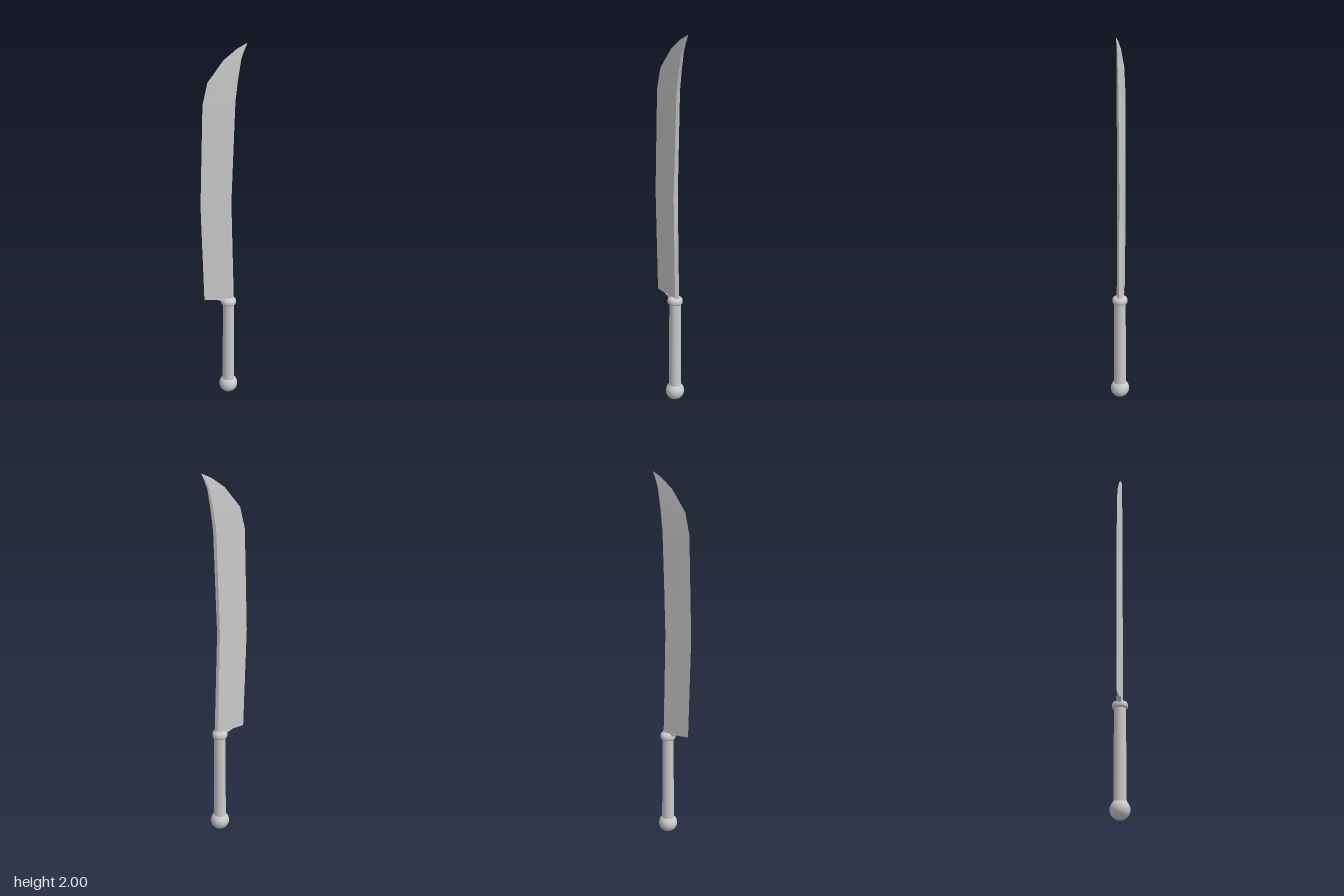
import * as THREE from 'three';

const AXIS_X = 0.03; // the grip sits off the centre of the blade

// Blade stations from heel to tip: cutting edge, ridge, spine (x, y each) and half thickness
const STATIONS = [
  [-0.108, 0.616, 0.046, 0.602, 0.060, 0.602, 0.0145],
  [-0.124, 1.17, 0.034, 1.17, 0.044, 1.17, 0.0145],
  [-0.108, 1.71, 0.051, 1.71, 0.063, 1.71, 0.012],
  [-0.082, 1.82, 0.064, 1.82, 0.076, 1.82, 0.009],
  [0.0, 1.924, 0.082, 1.915, 0.092, 1.92, 0.006],
  [0.07, 1.975, 0.097, 1.956, 0.104, 1.955, 0.003],
  [0.123, 2.0, 0.123, 2.0, 0.123, 2.0, 0],
];

function bladeGeometry() {
  const pos = [];
  // Four-sided cross-section: edge, front ridge, spine, back ridge
  for (const [ex, ey, rx, ry, sx, sy, t] of STATIONS) {
    pos.push(ex, ey, 0, rx, ry, t, sx, sy, 0, rx, ry, -t);
  }
  const index = [];
  for (let i = 0; i < STATIONS.length - 1; i++) {
    for (let k = 0; k < 4; k++) {
      const a = i * 4 + k, b = i * 4 + ((k + 1) % 4);
      index.push(a, b, b + 4, a, b + 4, a + 4);
    }
  }
  index.push(0, 2, 1, 0, 3, 2); // heel cap
  const geo = new THREE.BufferGeometry();
  geo.setAttribute('position', new THREE.Float32BufferAttribute(pos, 3));
  geo.setIndex(index);
  const flat = geo.toNonIndexed();
  flat.computeVertexNormals();
  return flat;
}

export function createModel() {
  const group = new THREE.Group();
  const smooth = new THREE.MeshStandardMaterial({ color: 0xcccccc });
  const faceted = new THREE.MeshStandardMaterial({ color: 0xcccccc, flatShading: true });

  const add = (name, geo, mat, x = 0, y = 0, z = 0) => {
    const mesh = new THREE.Mesh(geo, mat);
    mesh.name = name;
    mesh.position.set(x, y, z);
    group.add(mesh);
  };
  const lathe = (points) =>
    new THREE.LatheGeometry(points.map(([r, y]) => new THREE.Vector2(r, y)), 24);

  add('blade', bladeGeometry(), faceted);

  // Small wedge carrying the heel of the blade into the collar
  const wedge = new THREE.Shape([
    new THREE.Vector2(-0.04, 0.613), new THREE.Vector2(0, 0.59),
    new THREE.Vector2(0.056, 0.59), new THREE.Vector2(0.056, 0.612),
  ]);
  add('bladeRoot', new THREE.ExtrudeGeometry(wedge, { depth: 0.024, bevelEnabled: false }),
    faceted, 0, 0, -0.012);

  // Collar with rounded shoulders
  add('collar', lathe([
    [0.031, 0.568], [0.039, 0.573], [0.041, 0.58], [0.041, 0.592],
    [0.036, 0.602], [0.022, 0.609], [0, 0.611],
  ]), smooth, AXIS_X);

  // Grip, flaring slightly toward the pommel
  add('grip', lathe([
    [0.035, 0.075], [0.033, 0.1], [0.032, 0.3], [0.031, 0.54], [0.031, 0.575],
  ]), smooth, AXIS_X);

  add('pommel', new THREE.SphereGeometry(0.051, 24, 16), smooth, AXIS_X, 0.051, 0);

  return group;
}
